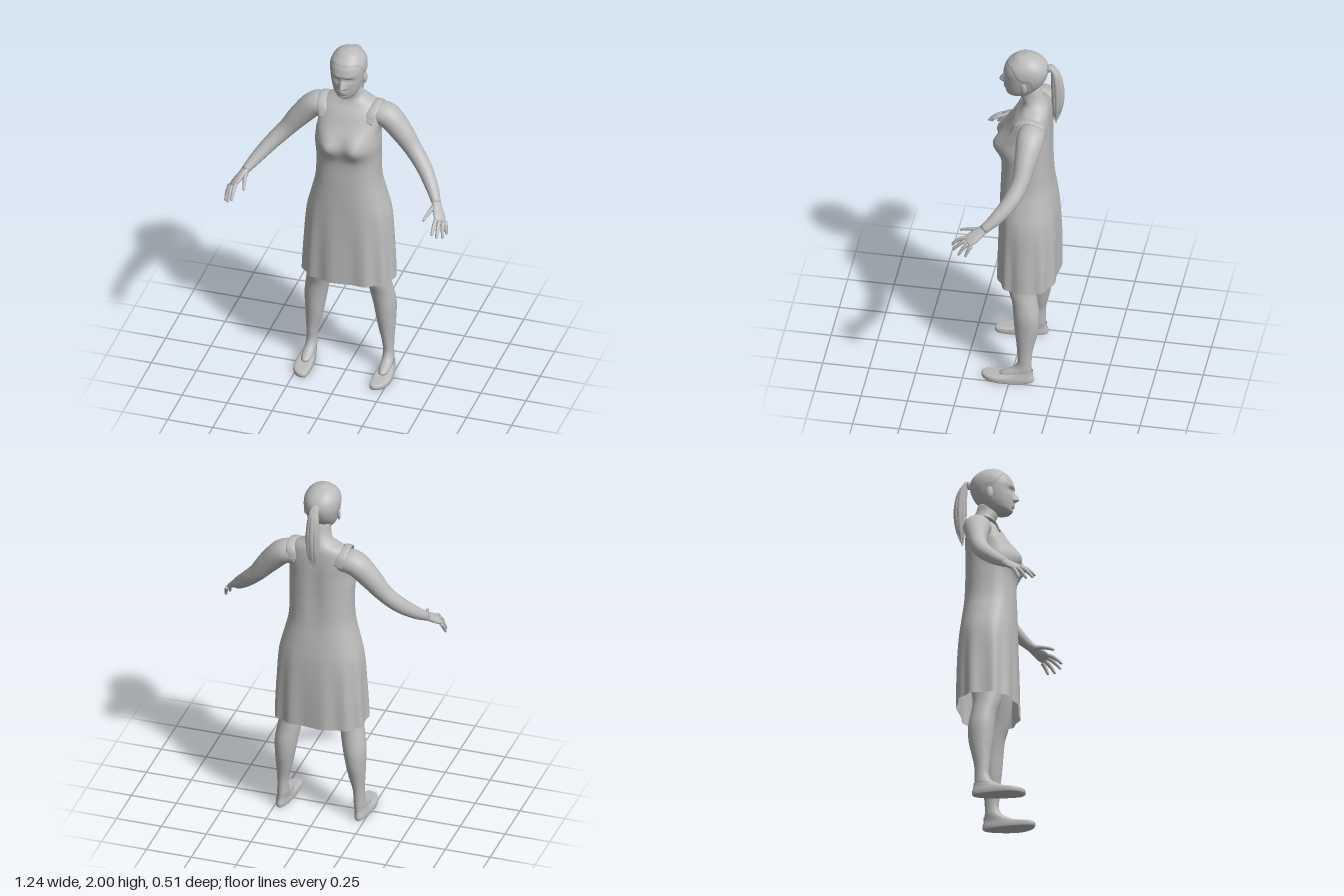
import * as THREE from 'three';

const grey = new THREE.MeshStandardMaterial({ color: 0xbcbcbc });
grey.name = 'plain grey';
const greyOpen = new THREE.MeshStandardMaterial({ color: 0xbcbcbc, side: THREE.DoubleSide });
greyOpen.name = 'plain grey cloth';

const smooth = THREE.MathUtils.smoothstep;
const bump = (d, w) => Math.exp(-(d * d) / (w * w));
const spow = (v, p) => Math.sign(v) * Math.abs(v) ** p;

// Smooth interpolation through key rows; the first number of each row is its position
function curve(keys) {
  const n = keys[0].length - 1;
  const it = new THREE.CubicInterpolant(keys.map(k => k[0]), keys.flatMap(k => k.slice(1)), n, new Float32Array(n));
  return t => Array.from(it.evaluate(t));
}

// Closed skin: fn(t, angle) gives a point, t runs along the part
function skin(name, rows, seg, fn, { start = true, end = true, mat = grey } = {}) {
  const pos = [], idx = [];
  for (let i = 0; i <= rows; i++)
    for (let j = 0; j < seg; j++) pos.push(...fn(i / rows, (j / seg) * Math.PI * 2));
  for (let i = 0; i < rows; i++)
    for (let j = 0; j < seg; j++) {
      const a = i * seg + j, b = i * seg + (j + 1) % seg;
      idx.push(a, a + seg, b, b, a + seg, b + seg);
    }
  const cap = (row, flip) => {
    const c = [0, 0, 0], n = pos.length / 3;
    for (let j = 0; j < seg; j++) for (let k = 0; k < 3; k++) c[k] += pos[(row * seg + j) * 3 + k] / seg;
    pos.push(...c);
    for (let j = 0; j < seg; j++) {
      const a = row * seg + j, b = row * seg + (j + 1) % seg;
      idx.push(...(flip ? [n, a, b] : [n, b, a]));
    }
  };
  if (start) cap(0, true);
  if (end) cap(rows, false);
  const g = new THREE.BufferGeometry();
  g.setAttribute('position', new THREE.Float32BufferAttribute(pos, 3));
  g.setIndex(idx);
  g.computeVertexNormals();
  const m = new THREE.Mesh(g, mat);
  m.name = name;
  return m;
}

// Tube along keys [x, y, z, r1, r2] with an oval section turned by ref
function limb(name, keys, ref = [0, 0, 1], rows = 24, seg = 20) {
  const f = curve(keys.map((k, i) => [i, ...k])), last = keys.length - 1;
  const R = new THREE.Vector3(...ref);
  return skin(name, rows, seg, (t, a) => {
    const u = t * last, k = f(u);
    const p = new THREE.Vector3(...k);
    const T = new THREE.Vector3(...f(Math.min(last, u + 0.05))).sub(new THREE.Vector3(...f(Math.max(0, u - 0.05)))).normalize();
    const n1 = T.clone().cross(R).normalize(), n2 = n1.clone().cross(T);
    return p.addScaledVector(n1, k[3] * Math.cos(a)).addScaledVector(n2, k[4] * Math.sin(a)).toArray();
  });
}

function mirrored(mesh) {
  const m = mesh.clone();
  m.geometry = mesh.geometry.clone().scale(-1, 1, 1);
  const ix = m.geometry.index.array;
  for (let i = 0; i < ix.length; i += 3) [ix[i], ix[i + 1]] = [ix[i + 1], ix[i]];
  m.name = mesh.name.replace('left', 'right');
  return m;
}

// Body section: y, half width, front z, back z, squareness
const body = curve([
  [0.595, 0.25, 0.09, -0.23, 2.6], [0.8, 0.24, 0.088, -0.23, 2.6], [1.0, 0.225, 0.085, -0.222, 2.5],
  [1.1, 0.2, 0.083, -0.21, 2.5], [1.2, 0.177, 0.08, -0.197, 2.5], [1.35, 0.172, 0.078, -0.19, 2.5],
  [1.44, 0.175, 0.095, -0.19, 2.5], [1.5, 0.172, 0.08, -0.19, 2.5], [1.56, 0.175, 0.045, -0.19, 2.5],
  [1.62, 0.17, 0.01, -0.187, 2.4], [1.66, 0.14, -0.02, -0.182, 2.2], [1.69, 0.085, -0.03, -0.172, 2],
  [1.73, 0.062, -0.015, -0.152, 2], [1.79, 0.058, 0, -0.13, 2]]);
function bodyPoint(y, a, inset) {
  const [hx, zf, zb, p] = body(y);
  const c = spow(Math.cos(a), 2 / p), s = spow(Math.sin(a), 2 / p);
  const fold = 0.006 * Math.cos(11 * a) * (1 - smooth(y, 0.6, 1.15));
  const x = (hx - inset + fold) * c;
  let z = (zf + zb) / 2 + ((zf - zb) / 2 - inset + fold) * s;
  // bust and the hollow of the spine
  if (s > 0) z += 0.032 * bump(Math.abs(x) - 0.08, 0.055) * bump(y - 1.445, 0.06) * s;
  else z += 0.008 * bump(x, 0.04) * bump(y - 1.4, 0.2);
  return [x, y, z];
}

// Head section: y, half width, front z, back z
const skull = curve([
  [1.735, 0.025, 0.04, -0.03], [1.75, 0.05, 0.053, -0.07], [1.78, 0.07, 0.06, -0.105],
  [1.82, 0.083, 0.065, -0.137], [1.86, 0.091, 0.066, -0.157], [1.9, 0.094, 0.068, -0.165],
  [1.94, 0.087, 0.052, -0.155], [1.97, 0.067, 0.022, -0.127], [1.99, 0.04, -0.008, -0.09], [2.0, 0.006, -0.046, -0.058]]);
function headPoint(y, a, out) {
  const [hx, zf, zb] = skull(y);
  const x = (hx + out) * spow(Math.cos(a), 0.92), s = spow(Math.sin(a), 0.92);
  let z = (zf + zb) / 2 + ((zf - zb) / 2 + out) * s;
  if (s > 0) {
    const ax = Math.abs(x);
    z += 0.029 * bump(x, 0.012) * smooth(y, 1.803, 1.816) * (1 - smooth(y, 1.818, 1.877));
    z += 0.009 * bump(ax - 0.013, 0.009) * bump(y - 1.815, 0.01);
    z -= 0.012 * bump(ax - 0.034, 0.02) * bump(y - 1.86, 0.014);
    z += 0.006 * bump(ax - 0.034, 0.013) * bump(y - 1.859, 0.008);
    z += 0.004 * bump(ax - 0.03, 0.03) * bump(y - 1.885, 0.01);
    z += 0.01 * bump(x, 0.022) * (bump(y - 1.791, 0.007) + bump(y - 1.777, 0.007));
    z += 0.006 * bump(x, 0.02) * bump(y - 1.75, 0.012);
  }
  return [x, y, z];
}

export function createModel() {
  const model = new THREE.Group();
  model.name = 'woman in a dress';
  const pair = m => model.add(m, mirrored(m));

  // Torso, neck and head
  model.add(skin('torsoAndNeck', 40, 64, (t, a) => bodyPoint(1.4 + 0.39 * t, a, 0.006)));
  model.add(skin('head', 90, 96, (t, a) => headPoint(1.735 + 0.265 * Math.sin(t * Math.PI / 2), a, 0)));
  const hairline = a => 1.87 + 0.07 * smooth(Math.sin(a), 0, 0.7) - 0.075 * smooth(-Math.sin(a), 0.15, 0.7);
  model.add(skin('hairCap', 24, 72, (t, a) => {
    const h = hairline(a);
    return headPoint(h + (2.0 - h) * Math.sin(t * Math.PI / 2), a, 0.003 * smooth(t, 0, 0.08));
  }, { start: false }));
  const ear = new THREE.SphereGeometry(1, 16, 12).scale(0.009, 0.032, 0.018).rotateY(-0.35).translate(0.091, 1.832, -0.05);
  const earMesh = new THREE.Mesh(ear, grey);
  earMesh.name = 'leftEar';
  pair(earMesh);

  // Ponytail: a band and a bundle of tapering strands
  const band = new THREE.Mesh(new THREE.TorusGeometry(0.016, 0.007, 8, 20), grey);
  band.name = 'hairBand';
  band.position.set(0, 1.917, -0.175);
  model.add(band);
  for (let i = 0; i < 9; i++) {
    const q = (i / 8) * Math.PI * 2, r = i === 8 ? 0 : 1;
    const dx = Math.cos(q) * r, dz = Math.sin(q) * r, tip = 1.57 + 0.05 * ((i * 5) % 9) / 9;
    model.add(limb('ponytailStrand', [
      [0.006 * dx, 1.915, -0.15, 0.011, 0.011], [0.01 * dx, 1.922 + 0.006 * dz, -0.187, 0.012, 0.012],
      [0.017 * dx, 1.87, -0.21 + 0.013 * dz, 0.015, 0.015], [0.023 * dx, 1.77, -0.22 + 0.02 * dz, 0.016, 0.016],
      [0.02 * dx, 1.67, -0.218 + 0.015 * dz, 0.013, 0.013], [0.008 * dx, tip, -0.211 + 0.006 * dz, 0.002, 0.002]],
      [1, 0, 0], 18, 8));
  }

  // Sleeveless dress with scooped neck and armholes, open at the hem
  const dressTop = a => {
    const c = Math.abs(Math.cos(a));
    return 1.575 + 0.055 * smooth(c, 0.25, 0.6) - 0.125 * smooth(c, 0.75, 0.95);
  };
  model.add(skin('dress', 70, 110, (t, a) => bodyPoint(0.595 + (dressTop(a) - 0.595) * t, a, 0),
    { start: false, end: false, mat: greyOpen }));
  pair(limb('leftDressStrap', [
    [0.122, 1.58, 0.008, 0.006, 0.028], [0.14, 1.635, -0.022, 0.006, 0.025], [0.15, 1.662, -0.095, 0.006, 0.022],
    [0.142, 1.635, -0.16, 0.006, 0.025], [0.125, 1.58, -0.174, 0.006, 0.028]], [1, 0, 0], 24, 14));

  // Arms
  pair(limb('leftArm', [
    [0.12, 1.59, -0.105, 0.06, 0.07], [0.2, 1.58, -0.105, 0.066, 0.074], [0.28, 1.5, -0.095, 0.06, 0.06],
    [0.35, 1.412, -0.08, 0.048, 0.047], [0.42, 1.335, -0.043, 0.042, 0.044], [0.485, 1.262, 0.022, 0.034, 0.036],
    [0.532, 1.207, 0.088, 0.023, 0.025]], [0, 0, 1], 40, 24));
  // Hands
  const palm = [0.63, 0.77, 0.19];
  pair(limb('leftPalm', [
    [0.525, 1.215, 0.078, 0.025, 0.021], [0.543, 1.193, 0.108, 0.031, 0.018],
    [0.565, 1.168, 0.143, 0.037, 0.015], [0.579, 1.151, 0.168, 0.032, 0.01]], palm, 14, 18));
  [[[0.556, 1.166, 0.176], [0.556, 1.11, 0.252]], [[0.574, 1.156, 0.174], [0.579, 1.09, 0.242]],
   [[0.588, 1.146, 0.159], [0.603, 1.076, 0.21]], [[0.597, 1.14, 0.141], [0.613, 1.078, 0.17]],
   [[0.525, 1.197, 0.105], [0.497, 1.167, 0.218]]].forEach(([b, e], i) => {
    const at = (t, r) => [...b.map((v, k) => v + (e[k] - v) * t + (k === 1 ? 0.008 * Math.sin(t * Math.PI) : 0)), r, r];
    pair(limb(i < 4 ? 'leftFinger' : 'leftThumb',
      [at(0, i < 4 ? 0.011 : 0.017), at(0.35, 0.011), at(0.7, 0.009), at(0.95, 0.007), at(1, 0.002)], palm, 14, 10));
  });

  // Legs and bare insteps: y, centre x, half width, front z, back z
  const leg = curve([
    [0.04, 0.215, 0.032, 0.06, -0.11], [0.058, 0.215, 0.031, 0.035, -0.115], [0.078, 0.214, 0.031, -0.01, -0.117],
    [0.11, 0.213, 0.029, -0.036, -0.116], [0.18, 0.21, 0.032, -0.038, -0.119], [0.25, 0.203, 0.043, -0.032, -0.133],
    [0.33, 0.197, 0.053, -0.022, -0.15], [0.42, 0.19, 0.062, -0.014, -0.154], [0.5, 0.177, 0.064, -0.004, -0.141],
    [0.56, 0.167, 0.063, 0.015, -0.133], [0.7, 0.14, 0.075, 0.04, -0.15], [0.95, 0.1, 0.095, 0.055, -0.18]]);
  pair(skin('leftLeg', 60, 32, (t, a) => {
    const y = 0.04 + 0.91 * t ** 1.2, [cx, hx, zf, zb] = leg(y);
    return [cx + hx * Math.cos(a), y, (zf + zb) / 2 + (zf - zb) / 2 * Math.sin(a)];
  }));

  // Flat shoes: sole outline rising to an oval opening; keys are height, size, blend to opening
  const shoe = curve([[0, 0, 0.9, 0], [0.15, 0.004, 0.97, 0], [0.4, 0.02, 1, 0], [0.65, 0.034, 0.98, 0.1],
    [0.85, 0.047, 0.95, 0.55], [1, 0.058, 0.95, 1]]);
  pair(skin('leftShoe', 20, 48, (t, a) => {
    const [h, size, k] = shoe(t), c = Math.cos(a), s = Math.sin(a), f = Math.max(0, s);
    const sx = 0.219 - 0.018 * f ** 3 + size * (0.048 + 0.012 * s) * spow(c, 0.85);
    const sz = 0.0125 + 0.1425 * size * s;
    const ox = 0.215 + 0.036 * c, oz = -0.03 + 0.093 * s;
    return [sx + (ox - sx) * k, h - 0.017 * s * k, sz + (oz - sz) * k];
  }, { end: false, mat: greyOpen }));

  return model;
}
